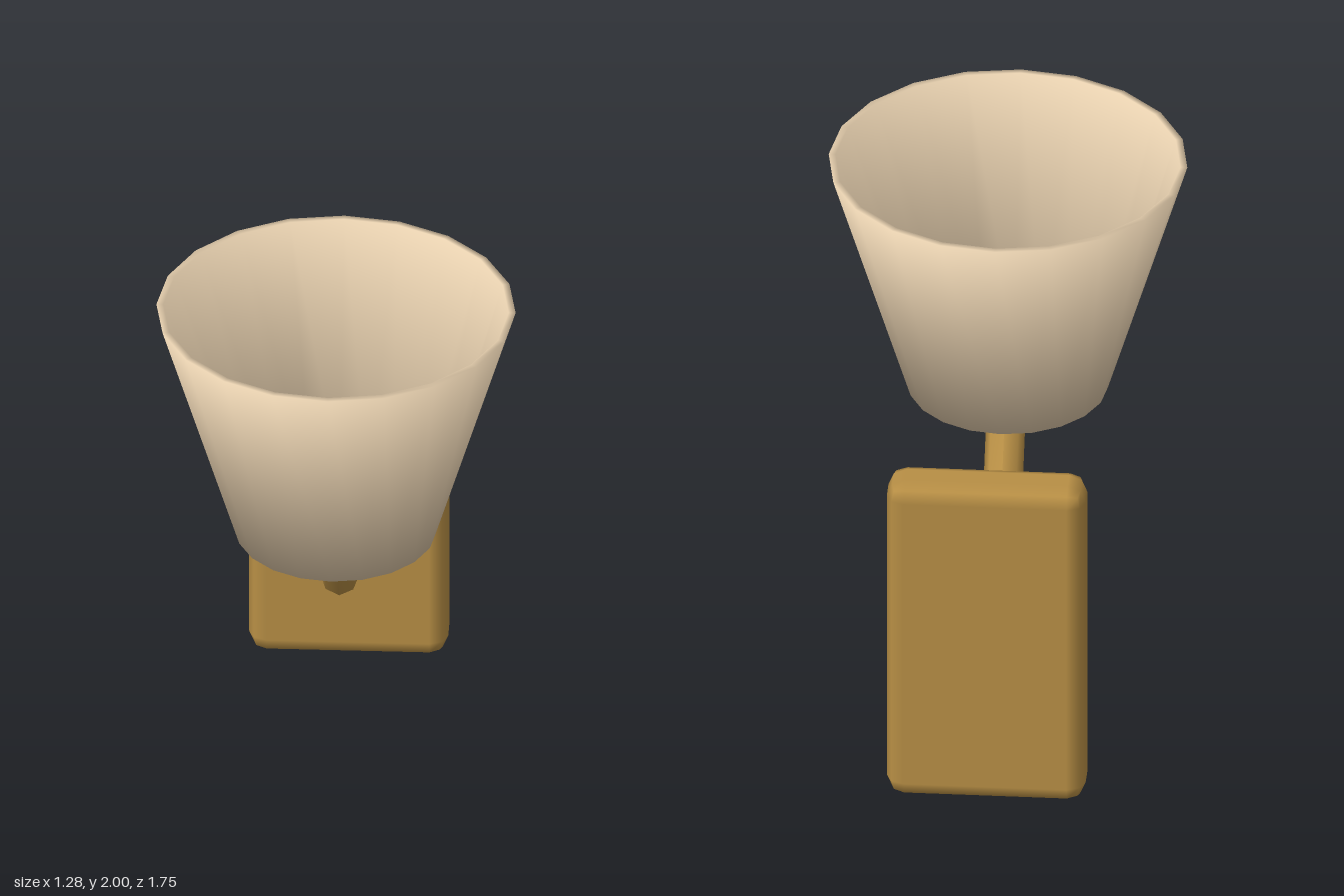
import * as THREE from 'three';
import { toCreasedNormals } from 'three/addons/utils/BufferGeometryUtils.js';
import { RoundedBoxGeometry } from 'three/addons/geometries/RoundedBoxGeometry.js';

const SHADE_Z = 0.235;

const material = (color) => new THREE.MeshStandardMaterial({ color });

function part(name, geometry, mat, x = 0, y = 0, z = 0) {
  const mesh = new THREE.Mesh(geometry, mat);
  mesh.name = name;
  mesh.position.set(x, y, z);
  return mesh;
}

// Bent eight-sided bar: a cylinder whose rings are moved onto a path in the y-z plane, mitred at bends
function bentBar(path, radius) {
  const geometry = new THREE.CylinderGeometry(radius, radius, path.length - 1, 8, path.length - 1);
  const across = path.map((p, i) => {
    const before = p.clone().sub(path[Math.max(i - 1, 0)]).normalize();
    const after = path[Math.min(i + 1, path.length - 1)].clone().sub(p).normalize();
    const tangent = before.clone().add(after).normalize();
    const stretch = 1 / Math.max(tangent.dot(before), tangent.dot(after));
    return new THREE.Vector2(tangent.y, -tangent.x).multiplyScalar(stretch);
  });
  const pos = geometry.attributes.position;
  for (let i = 0; i < pos.count; i++) {
    const ring = Math.round(pos.getY(i) + (path.length - 1) / 2);
    const side = pos.getZ(i);
    pos.setY(i, path[ring].y + across[ring].y * side);
    pos.setZ(i, path[ring].x + across[ring].x * side);
  }
  return toCreasedNormals(geometry, 1.0);
}

// Tapered shell with a thin wall; normals blend softly over both rims
function shadeGeometry() {
  const profile = [[0.325, 1.08], [0.357, 1.08], [0.64, 2], [0.615, 2], [0.325, 1.08]]
    .map(([r, y]) => new THREE.Vector2(r, y));
  const geometry = new THREE.LatheGeometry(profile, 20);
  const rimNormals = [[-0.9, -0.4], [0.6, -0.8], [0.8, 0.6], [-0.6, 0.8], [-0.9, -0.4]];
  const { position, normal } = geometry.attributes;
  for (let i = 0; i < position.count; i++) {
    const [out, up] = rimNormals[i % profile.length];
    const n = new THREE.Vector3(position.getX(i), 0, position.getZ(i)).normalize().multiplyScalar(out);
    n.y = up;
    n.normalize();
    normal.setXYZ(i, n.x, n.y, n.z);
  }
  return geometry;
}

export function createModel() {
  const model = new THREE.Group();
  model.name = 'wallLamp';
  const brass = material(0xb88f45);

  // Wall plate with softened edges
  const plate = new RoundedBoxGeometry(0.71, 1.285, 0.205, 1, 0.065);
  model.add(part('wallPlate', plate, brass, 0, 0.6425, -0.7725));

  // Arm, path given as (z, y)
  const path = [[-0.75, 0.575], [-0.052, 0.722], [0.24, 1.16]].map(([z, y]) => new THREE.Vector2(z, y));
  model.add(part('arm', bentBar(path, 0.07), brass));

  // Bulb
  model.add(part('bulb', new THREE.SphereGeometry(0.2, 10, 8).rotateY(Math.PI / 2), material(0xf0c68c), 0, 1.4, SHADE_Z));

  // Shade
  model.add(part('shade', shadeGeometry(), material(0xe6cfae), 0, 0, SHADE_Z));

  return model;
}
